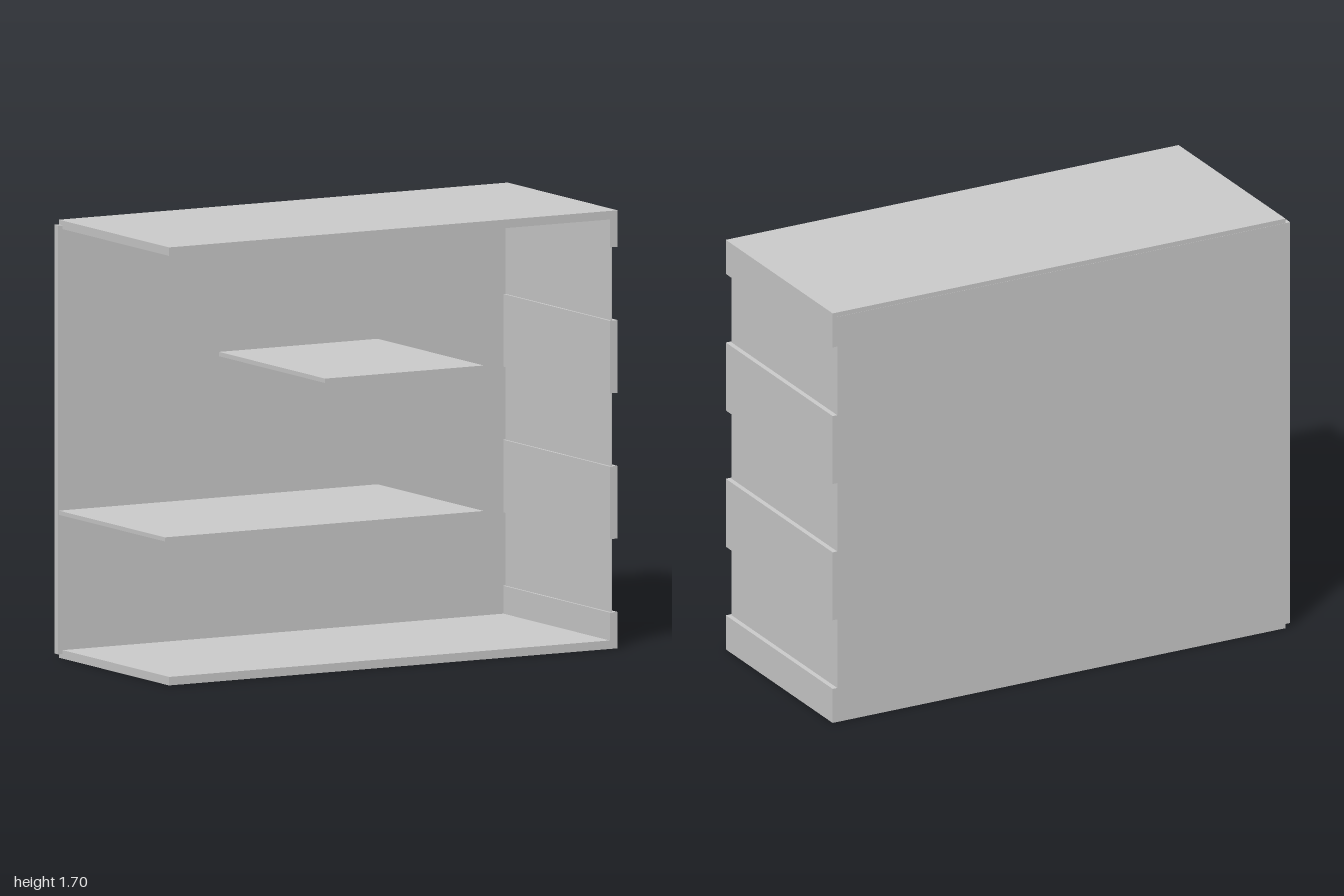
import * as THREE from 'three';

export function createModel() {
  const group = new THREE.Group();
  group.name = 'shelfUnit';
  const material = new THREE.MeshStandardMaterial({ color: 0xcccccc });

  // Box given by its minimum and maximum corners
  function addBox(name, [x0, y0, z0], [x1, y1, z1]) {
    const mesh = new THREE.Mesh(new THREE.BoxGeometry(x1 - x0, y1 - y0, z1 - z0), material);
    mesh.position.set((x0 + x1) / 2, (y0 + y1) / 2, (z0 + z1) / 2);
    mesh.name = name;
    group.add(mesh);
  }

  const H = 1.695, D = 0.424;

  // Bottom and top boards, each with a short lip turned along the side wall
  function addBoard(name, flip) {
    const outline = [[-0.98, 0], [1, 0], [1, 0.141], [0.965, 0.141], [0.965, 0.033], [-0.98, 0.033]];
    const points = outline.map(([x, y]) => new THREE.Vector2(x, flip ? H - y : y));
    const geometry = new THREE.ExtrudeGeometry(new THREE.Shape(points), { depth: 2 * D, bevelEnabled: false });
    const mesh = new THREE.Mesh(geometry.translate(0, 0, -D), material);
    mesh.name = name;
    group.add(mesh);
  }
  addBoard('bottomBoard', false);
  addBoard('topBoard', true);

  // Back panel, reaching past the boards on the open side
  addBox('backPanel', [-1, 0.018, -0.425], [0.98, 1.677, -0.395]);

  // Side wall: thin recessed sheet with raised slats
  addBox('sideSheet', [0.974, 0.1, -0.422], [0.98, 1.6, 0.416]);
  for (const y of [0.425, 0.989]) addBox('sideSlat', [0.965, y, -D], [1, y + 0.281, D]);

  // Inner shelves
  addBox('lowerShelf', [-0.997, 0.558, -0.395], [0.41, 0.574, 0.422]);
  addBox('upperShelf', [-0.29, 1.12, -0.395], [0.41, 1.137, 0.422]);

  return group;
}
